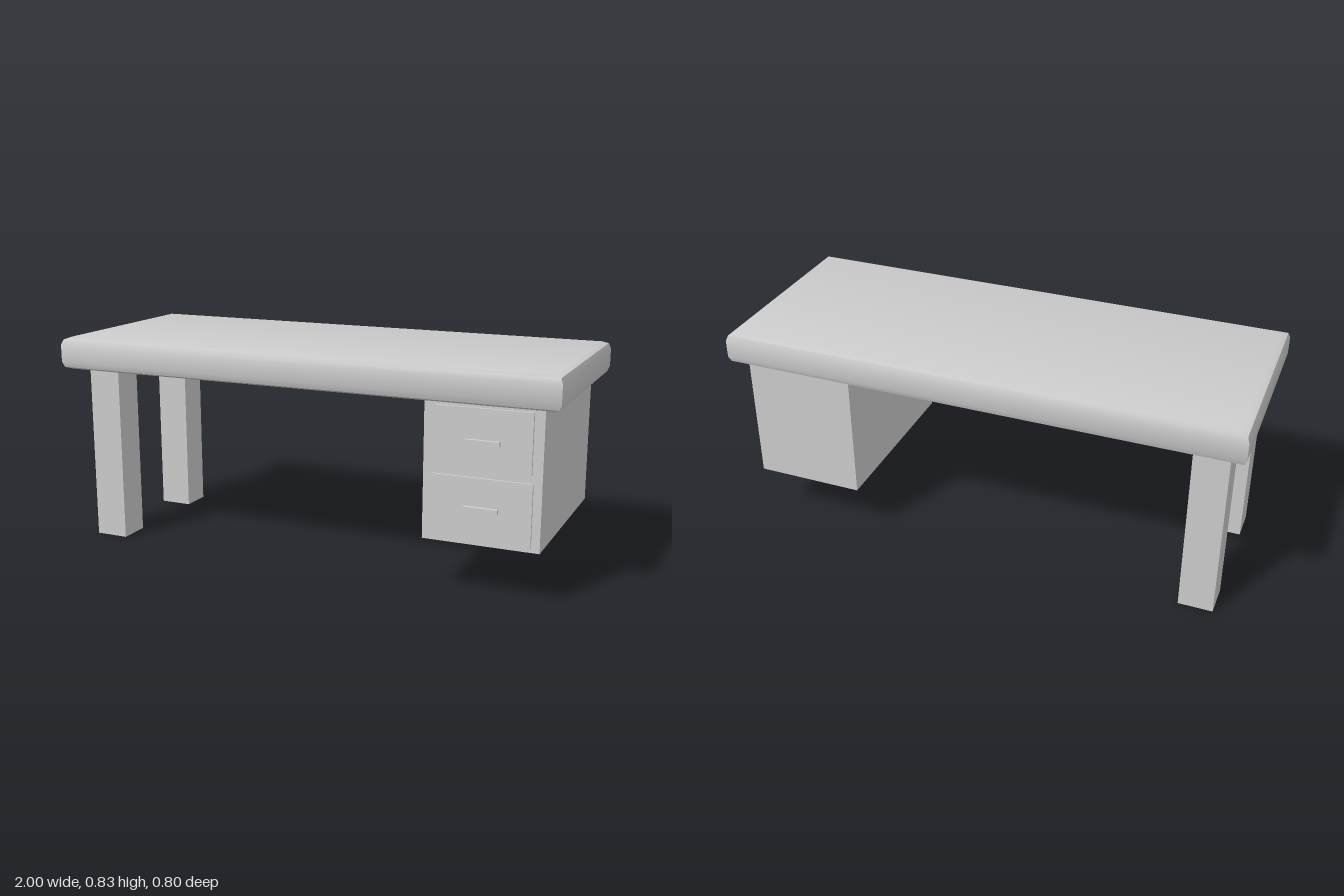
import * as THREE from 'three';
import { toCreasedNormals } from 'three/addons/utils/BufferGeometryUtils.js';

const material = new THREE.MeshStandardMaterial({ color: 0xcccccc });

// Box given by its minimum and maximum corners
function box(name, [x0, y0, z0], [x1, y1, z1]) {
  const mesh = new THREE.Mesh(new THREE.BoxGeometry(x1 - x0, y1 - y0, z1 - z0), material);
  mesh.position.set((x0 + x1) / 2, (y0 + y1) / 2, (z0 + z1) / 2);
  mesh.name = name;
  return mesh;
}

// Slab with rounded edges: stacked rectangles, each inset from the full outline
function roundedSlab(halfX, halfZ, rings) {
  const corners = [[1, 1], [1, -1], [-1, -1], [-1, 1]];
  const positions = [];
  const index = [];
  for (const [inset, y] of rings)
    for (const [sx, sz] of corners) positions.push(sx * (halfX - inset), y, sz * (halfZ - inset));
  for (let r = 0; r < rings.length - 1; r++) {
    for (let i = 0; i < 4; i++) {
      const a = r * 4 + i;
      const b = r * 4 + (i + 1) % 4;
      index.push(a, b, b + 4, a, b + 4, a + 4);
    }
  }
  const t = (rings.length - 1) * 4;
  index.push(t, t + 1, t + 2, t, t + 2, t + 3, 2, 1, 0, 3, 2, 0);
  const geometry = new THREE.BufferGeometry();
  geometry.setAttribute('position', new THREE.Float32BufferAttribute(positions, 3));
  geometry.setIndex(index);
  return toCreasedNormals(geometry, 0.55);
}

export function createModel() {
  const desk = new THREE.Group();
  desk.name = 'desk';

  // Table top
  const top = new THREE.Mesh(roundedSlab(1, 0.402, [
    [0.03, 0.705], [0.008, 0.714], [0, 0.735],
    [0, 0.803], [0.008, 0.824], [0.03, 0.833],
  ]), material);
  top.name = 'tableTop';
  desk.add(top);

  // Two legs on the right
  desk.add(box('frontLeg', [-0.938, 0, 0.174], [-0.805, 0.706, 0.302]));
  desk.add(box('backLeg', [-0.938, 0, -0.326], [-0.805, 0.706, -0.198]));

  // Hanging drawer cabinet on the left
  desk.add(box('cabinet', [0.511, 0.2, -0.356], [0.94, 0.706, 0.366]));

  // Drawers with bar handles
  const drawers = [
    { name: 'upperDrawer', x: [0.553, 0.903], y: [0.477, 0.695], handleY: 0.576 },
    { name: 'lowerDrawer', x: [0.543, 0.909], y: [0.217, 0.447], handleY: 0.335 },
  ];
  for (const { name, x, y, handleY } of drawers) {
    const drawer = new THREE.Group();
    drawer.name = name;
    drawer.add(box('drawerFront', [x[0], y[0], 0.36], [x[1], y[1], 0.375]));
    drawer.add(box('handle', [0.666, handleY - 0.009, 0.37], [0.791, handleY + 0.009, 0.39]));
    desk.add(drawer);
  }
  return desk;
}
